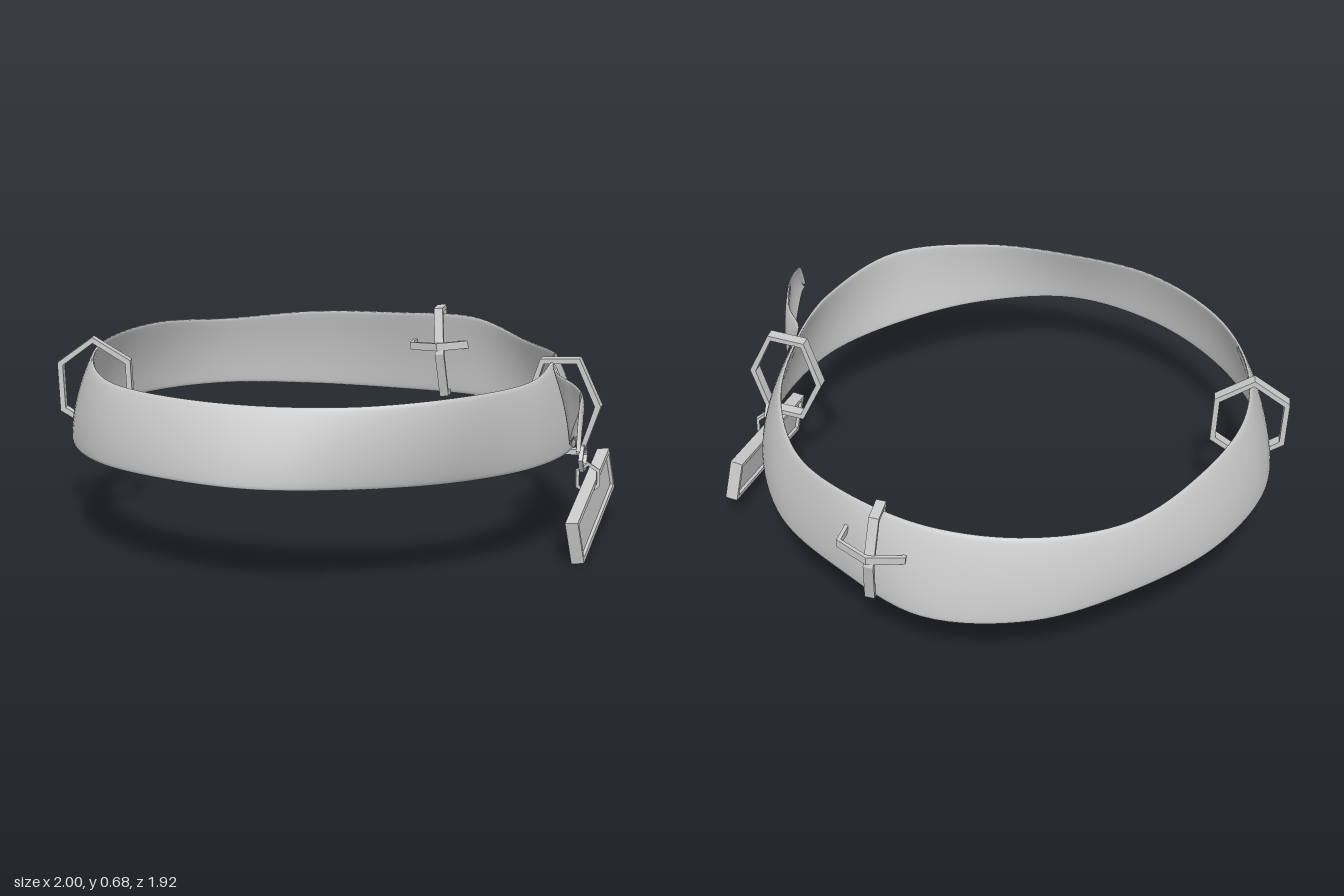
import * as THREE from 'three';

const grey = () => new THREE.MeshStandardMaterial({ color: 0xcccccc });

function addMesh(parent, name, geometry) {
  const mesh = new THREE.Mesh(geometry, grey());
  mesh.name = name;
  parent.add(mesh);
  return mesh;
}

// Soft-edged leather strip lofted between a lower and an upper edge curve
function stripGeometry(lower, upper, closed, steps, thickness) {
  const low = new THREE.CatmullRomCurve3(lower, closed, 'catmullrom', 0.5);
  const top = new THREE.CatmullRomCurve3(upper, closed, 'catmullrom', 0.5);
  const ring = 28, pos = [], idx = [];
  const rows = closed ? steps : steps + 1;
  for (let i = 0; i < rows; i++) {
    const u = i / steps;
    const b = low.getPoint(u), t = top.getPoint(u);
    const tan = low.getTangent(u).add(top.getTangent(u));
    const n = new THREE.Vector3(tan.z, 0, -tan.x).normalize();
    for (let j = 0; j < ring; j++) {
      // flattened oval cross-section, bowed slightly outward
      const a = (j / ring) * Math.PI * 2;
      const v = (1 - Math.cos(a)) / 2;
      const side = Math.sign(Math.sin(a)) * Math.sqrt(Math.abs(Math.sin(a)));
      const p = b.clone().lerp(t, v);
      p.addScaledVector(n, (side * thickness(u)) / 2 + 0.05 * v * (1 - v));
      pos.push(p.x, p.y, p.z);
    }
  }
  for (let i = 0; i < steps; i++) {
    for (let j = 0; j < ring; j++) {
      const k = (j + 1) % ring, next = ((i + 1) % rows) * ring;
      const a = i * ring + j, b = i * ring + k, c = next + k, d = next + j;
      idx.push(a, b, c, a, c, d);
    }
  }
  const g = new THREE.BufferGeometry();
  g.setAttribute('position', new THREE.Float32BufferAttribute(pos, 3));
  g.setIndex(idx);
  g.computeVertexNormals();
  return g;
}

// Six-sided flat-faced ring in the xy plane, centred on its origin
function hexRing(rx, ry, depth, width, phase = 0) {
  const hex = (a, b) => Array.from({ length: 6 }, (_, i) => {
    const t = phase + (i * Math.PI) / 3;
    return new THREE.Vector2(a * Math.cos(t), b * Math.sin(t));
  });
  const shape = new THREE.Shape(hex(rx, ry));
  shape.holes.push(new THREE.Path(hex(rx - width, ry - width)));
  const g = new THREE.ExtrudeGeometry(shape, { depth, bevelEnabled: false });
  return g.translate(0, 0, -depth / 2);
}

export function createModel() {
  const model = new THREE.Group();
  model.name = 'collar';

  // Wavy band: [lower radius, upper radius, lower y, upper y] every 22.5 degrees from +x to +z
  const band = [
    [0.872, 0.79, 0.345, 0.65], [0.87, 0.845, 0.35, 0.645],
    [0.86, 0.9, 0.355, 0.655], [0.89, 0.88, 0.365, 0.64],
    [0.945, 0.858, 0.37, 0.63], [0.943, 0.878, 0.365, 0.63],
    [0.945, 0.885, 0.35, 0.625], [0.95, 0.873, 0.345, 0.64],
    [0.965, 0.873, 0.36, 0.65], [0.943, 0.87, 0.36, 0.65],
    [0.925, 0.885, 0.35, 0.62], [0.943, 0.882, 0.32, 0.63],
    [0.943, 0.863, 0.305, 0.635], [0.885, 0.85, 0.325, 0.648],
    [0.885, 0.82, 0.335, 0.608], [0.875, 0.8, 0.36, 0.625],
  ];
  const edge = (r, y) => band.map((row, i) => {
    const a = (i / band.length) * Math.PI * 2;
    return new THREE.Vector3(row[r] * Math.cos(a), row[y], row[r] * Math.sin(a));
  });
  addMesh(model, 'band', stripGeometry(edge(0, 2), edge(1, 3), true, 128, () => 0.02));

  // Loose strap end curling away from the band
  const V = (x, y, z) => new THREE.Vector3(x, y, z);
  const tailLow = [V(0.88, 0.345, 0), V(0.885, 0.38, 0.1), V(0.91, 0.425, 0.21),
    V(0.945, 0.475, 0.36), V(0.97, 0.495, 0.47), V(0.98, 0.49, 0.52), V(0.99, 0.472, 0.57)];
  const tailTop = [V(0.8, 0.645, 0), V(0.83, 0.635, 0.1), V(0.91, 0.625, 0.21),
    V(0.965, 0.625, 0.36), V(0.98, 0.615, 0.465), V(0.987, 0.58, 0.53), V(0.99, 0.48, 0.574)];
  addMesh(model, 'strapEnd',
    stripGeometry(tailLow, tailTop, false, 40, (u) => 0.018 * Math.sqrt(1 - u)));

  // Three strap rings, and the flat cross ring on the back one
  const leftRing = addMesh(model, 'leftRing', hexRing(0.14, 0.2, 0.04, 0.022));
  leftRing.position.set(0.83, 0.49, -0.028);
  leftRing.rotation.z = 0.06;

  const rightRing = addMesh(model, 'rightRing', hexRing(0.155, 0.18, 0.04, 0.022, Math.PI / 6));
  rightRing.position.set(-0.86, 0.505, 0.185);
  rightRing.rotation.set(0, 0.22, 0.04);

  const backRing = new THREE.Group();
  backRing.name = 'backRing';
  backRing.position.set(0.188, 0.49, -0.865);
  backRing.rotation.z = 0.08;
  model.add(backRing);
  const uprightRing = addMesh(backRing, 'uprightRing', hexRing(0.095, 0.205, 0.035, 0.02));
  uprightRing.rotation.y = Math.PI / 2 + 0.08;
  const crossRing = addMesh(backRing, 'crossRing', hexRing(0.14, 0.1, 0.03, 0.015, Math.PI / 6));
  crossRing.rotation.x = Math.PI / 2;
  crossRing.position.y = 0.03;

  // Two chain links
  const upperLink = addMesh(model, 'upperLink', hexRing(0.055, 0.055, 0.016, 0.013));
  upperLink.position.set(0.91, 0.31, -0.018);
  upperLink.rotation.y = Math.PI / 2;
  const lowerLink = addMesh(model, 'lowerLink', hexRing(0.05, 0.06, 0.016, 0.013, Math.PI / 6));
  lowerLink.position.set(0.928, 0.235, -0.018);
  lowerLink.rotation.y = 0.4;

  // Hanging name plate: thin panel inside a raised rim
  const tag = new THREE.Group();
  tag.name = 'tag';
  tag.position.set(0.941, 0.138, -0.026);
  tag.rotation.set(0.19, 0, 0.13);
  model.add(tag);
  const L = 0.625, H = 0.155, D = 0.045, rim = 0.016;
  addMesh(tag, 'panel', new THREE.BoxGeometry(D - 0.024, H - rim, L - rim));
  for (const s of [-1, 1]) {
    addMesh(tag, 'longRim', new THREE.BoxGeometry(D, rim, L)).position.y = s * (H - rim) / 2;
    addMesh(tag, 'shortRim', new THREE.BoxGeometry(D, H - 2 * rim, rim)).position.z = s * (L - rim) / 2;
  }
  return model;
}
